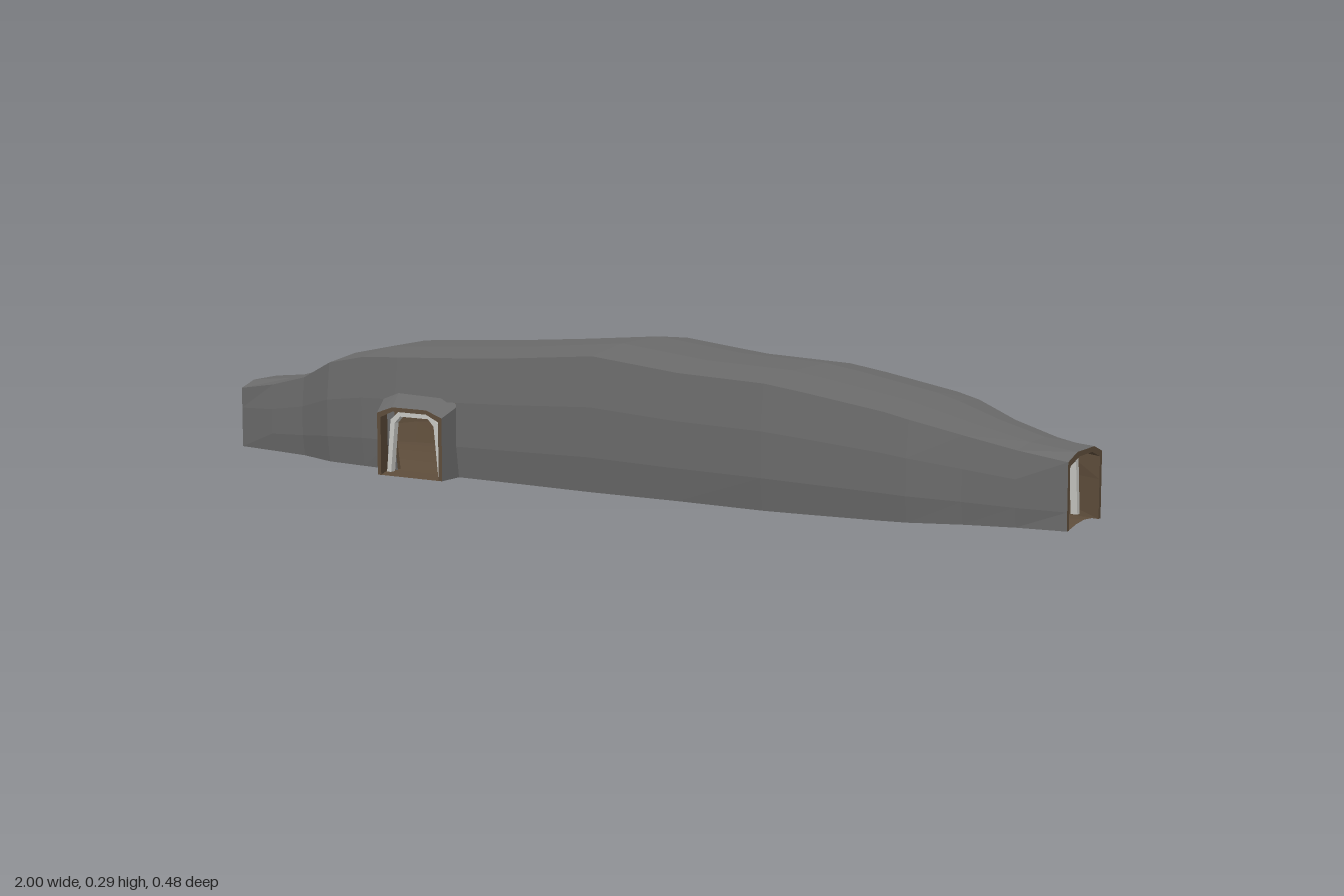
import * as THREE from 'three';

const mat = (name, color) => new THREE.MeshStandardMaterial({ name, color, side: THREE.DoubleSide });

// x, front z, back z, roof height
const stations = [
  [-1, 0.086, -0.078, 0.147], [-0.9, 0.105, -0.108, 0.157], [-0.8, 0.122, -0.133, 0.183],
  [-0.7, 0.162, -0.18, 0.229], [-0.6, 0.172, -0.19, 0.25], [-0.505, 0.18, -0.194, 0.256],
  [-0.34, 0.188, -0.208, 0.266], [-0.2, 0.192, -0.24, 0.276], [0, 0.2, -0.205, 0.295],
  [0.2, 0.197, -0.198, 0.273], [0.4, 0.203, -0.191, 0.266], [0.485, 0.196, -0.188, 0.253],
  [0.65, 0.178, -0.178, 0.224], [0.7, 0.17, -0.174, 0.211], [0.8, 0.132, -0.125, 0.182],
  [0.9, 0.106, -0.1, 0.157], [1, 0.088, -0.078, 0.147],
];
const V = (x, y, z) => new THREE.Vector3(x, y, z);

// Cross-section from the front foot, over the roof, to the back foot
function section([x, zf, zb, h], inset = 0) {
  const end = Math.abs(x) > 0.95;
  const half = (z) => [
    [z * (end ? 1 : 0.95), 0], [z, h * 0.25], [z, h * 0.6],
    [z * (end ? 1 : 0.94), h * (end ? 0.905 : 0.95)], [z * (end ? 0.5 : 0.36), h],
  ];
  return [...half(zf), ...half(zb).reverse()].map(([z, y]) =>
    V(x, y > 0 ? y - inset : 0, z - Math.sign(z) * inset));
}

// Faceted skin between cross-sections, leaving out the quads that skip() picks
function loft(sections, skip = () => false) {
  const p = [];
  for (let i = 0; i + 1 < sections.length; i++) {
    for (let j = 0; j + 1 < sections[i].length; j++) {
      if (skip(i, j)) continue;
      const a = sections[i][j], b = sections[i + 1][j];
      const c = sections[i + 1][j + 1], d = sections[i][j + 1];
      for (const v of [a, b, c, a, c, d]) p.push(v.x, v.y, v.z);
    }
  }
  const g = new THREE.BufferGeometry();
  g.setAttribute('position', new THREE.Float32BufferAttribute(p, 3));
  g.computeVertexNormals();
  return g;
}

// Gently crowned floor strip
const floorSection = ([x, zf, zb]) => [0, 0.25, 0.5, 0.75, 1].map((t) =>
  V(x, 0.01 * Math.sin(Math.PI * t), THREE.MathUtils.lerp(zf, zb, t) * 0.95));

export function createModel() {
  const rock = mat('grey rock', 0x6a6a6a);
  const earth = mat('brown earth', 0x5e4d3b);
  const pale = mat('pale support', 0xc9c9c4);
  const wood = mat('dark timber', 0x4a3a29);
  const iron = mat('dark iron', 0x2f2b28);

  const model = new THREE.Group();
  model.name = 'caveTunnel';
  const add = (name, geo, material, parent = model) => {
    const m = new THREE.Mesh(geo, material);
    m.name = name;
    parent.add(m);
    return m;
  };
  const box = (name, w, h, d, x, y, z, material, parent) => {
    const m = add(name, new THREE.BoxGeometry(w, h, d), material, parent);
    m.position.set(x, y, z);
    return m;
  };

  // Rock shell and earth lining, open where the side passages join
  const sideDoor = (i, j) => (i === 5 && j < 2) || (i === 11 && j > 6);
  const outer = stations.map((s) => section(s));
  const inner = stations.map((s) => section(s, 0.01));
  add('rockShell', loft(outer, sideDoor), rock);
  add('earthLining', loft(inner, sideDoor), earth);
  add('floor', loft(stations.map(floorSection)), earth);
  for (const i of [0, stations.length - 1]) {
    add('mouthRim', loft([outer[i], inner[i]]), earth);
  }

  // Short side passages
  const arch = (l, r, h, z, inset) => [
    [l + inset, 0], [l + inset, h * 0.905 - inset], [l + 0.04, h - inset],
    [r - 0.04, h - inset], [r - inset, h * 0.905 - inset], [r - inset, 0],
  ].map(([x, y]) => V(x, y, z));
  function sidePassage(name, l, r, rootL, rootR, zMouth, zRoot) {
    const g = new THREE.Group();
    g.name = name;
    model.add(g);
    const skin = (inset) => [
      arch(l, r, 0.147, zMouth, inset), arch(rootL, rootR, 0.172, zRoot, inset)];
    const out = skin(0), inn = skin(0.009);
    add('passageShell', loft(out), rock, g);
    add('passageLining', loft(inn), earth, g);
    add('passageRim', loft([out[0], inn[0]]), earth, g);
    add('passageFloor', loft(out.map((s) => [s[0], s[5]])), earth, g);
  }
  sidePassage('frontPassage', -0.507, -0.34, -0.54, -0.34, 0.24, 0.168);
  sidePassage('backPassage', 0.483, 0.65, 0.483, 0.65, -0.23, -0.165);

  // Pale tapered supports just inside each mouth
  const half = [[0.08, 0.005], [0.068, 0.12], [0.045, 0.138]];
  const hole = [[0.04, 0.128], [0.056, 0.113], [0.068, 0.005]];
  const right = [...half, ...hole];
  const flip = (pts) => pts.map(([x, y]) => [-x, y]);
  const outline = [...half, ...flip(half).reverse(), ...flip(right.slice(3)).reverse(), ...hole]
    .map(([x, y]) => new THREE.Vector2(x, y));
  const supportGeo = new THREE.ExtrudeGeometry(new THREE.Shape(outline),
    { depth: 0.014, bevelEnabled: false }).translate(0, 0, -0.007);
  for (const [x, z, turn, scale] of [
    [-0.95, 0.003, Math.PI / 2, 1], [0.95, 0.003, Math.PI / 2, 1],
    [-0.424, 0.215, 0, 0.9], [0.567, -0.205, 0, 0.9],
  ]) {
    const m = add('archSupport', supportGeo, pale);
    m.position.set(x, 0, z);
    m.rotation.y = turn;
    m.scale.set(scale, 0.98, 1);
  }

  // Footbridge across the hall
  const bridge = new THREE.Group();
  bridge.name = 'footbridge';
  model.add(bridge);
  box('deck', 0.08, 0.006, 0.36, 0, 0.103, 0, wood, bridge);
  for (const x of [-0.038, 0.038]) {
    box('handRail', 0.005, 0.004, 0.36, x, 0.126, 0, wood, bridge);
    box('middleRail', 0.004, 0.003, 0.36, x, 0.117, 0, wood, bridge);
    for (let k = -5; k <= 5; k++) {
      box('railPost', 0.004, 0.024, 0.004, x, 0.115, k * 0.034, wood, bridge);
    }
    for (const s of [-1, 1]) {
      box('bridgePost', 0.008, 0.1, 0.008, x, 0.05, s * 0.085, wood, bridge);
      const brace = box('brace', 0.005, 0.05, 0.005, x, 0.085, s * 0.067, wood, bridge);
      brace.rotation.x = -s * 0.8;
    }
  }

  // Lantern, low sleeper and leaning lever
  const lantern = add('lantern', new THREE.CylinderGeometry(0.006, 0.007, 0.016, 6), iron);
  lantern.position.set(0.06, 0.05, 0.058);
  box('lanternHanger', 0.002, 0.05, 0.002, 0.06, 0.08, 0.058, iron);
  box('sleeper', 0.02, 0.006, 0.13, 0.25, 0.015, -0.01, wood);
  const lever = box('lever', 0.003, 0.035, 0.002, 0.25, 0.034, -0.032, iron);
  lever.rotation.x = -0.25;

  return model;
}
